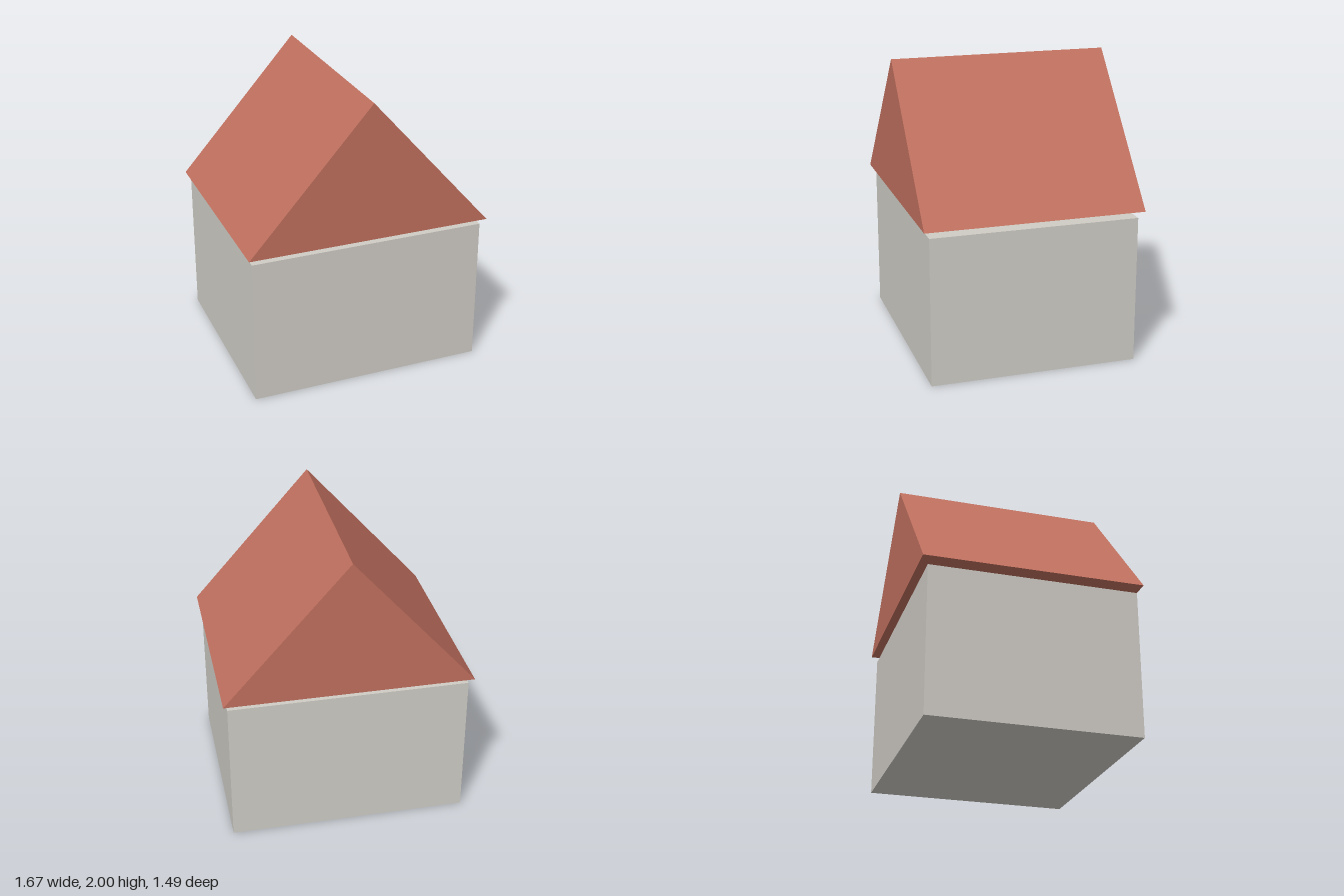
import * as THREE from 'three';

const WALL = { width: 1.612, height: 1.01, depth: 1.414 };
const ROOF = { halfWidth: 0.835, base: 1.058, top: 2, depth: 1.49 };

export function createModel() {
  const house = new THREE.Group();
  house.name = 'house';

  // Plain block of walls standing on the ground
  const walls = new THREE.Mesh(
    new THREE.BoxGeometry(WALL.width, WALL.height, WALL.depth),
    new THREE.MeshStandardMaterial({ color: 0xd0cdc6 })
  );
  walls.name = 'walls';
  walls.position.y = WALL.height / 2;
  house.add(walls);

  // Solid gable roof, floating just above the walls with a small overhang
  const gable = new THREE.Shape([
    new THREE.Vector2(-ROOF.halfWidth, ROOF.base),
    new THREE.Vector2(ROOF.halfWidth, ROOF.base),
    new THREE.Vector2(0, ROOF.top),
  ]);
  const roofGeometry = new THREE.ExtrudeGeometry(gable, { depth: ROOF.depth, bevelEnabled: false });
  roofGeometry.translate(0, 0, -ROOF.depth / 2);
  const roof = new THREE.Mesh(
    roofGeometry,
    new THREE.MeshStandardMaterial({ color: 0xc0705e })
  );
  roof.name = 'roof';
  house.add(roof);

  return house;
}
